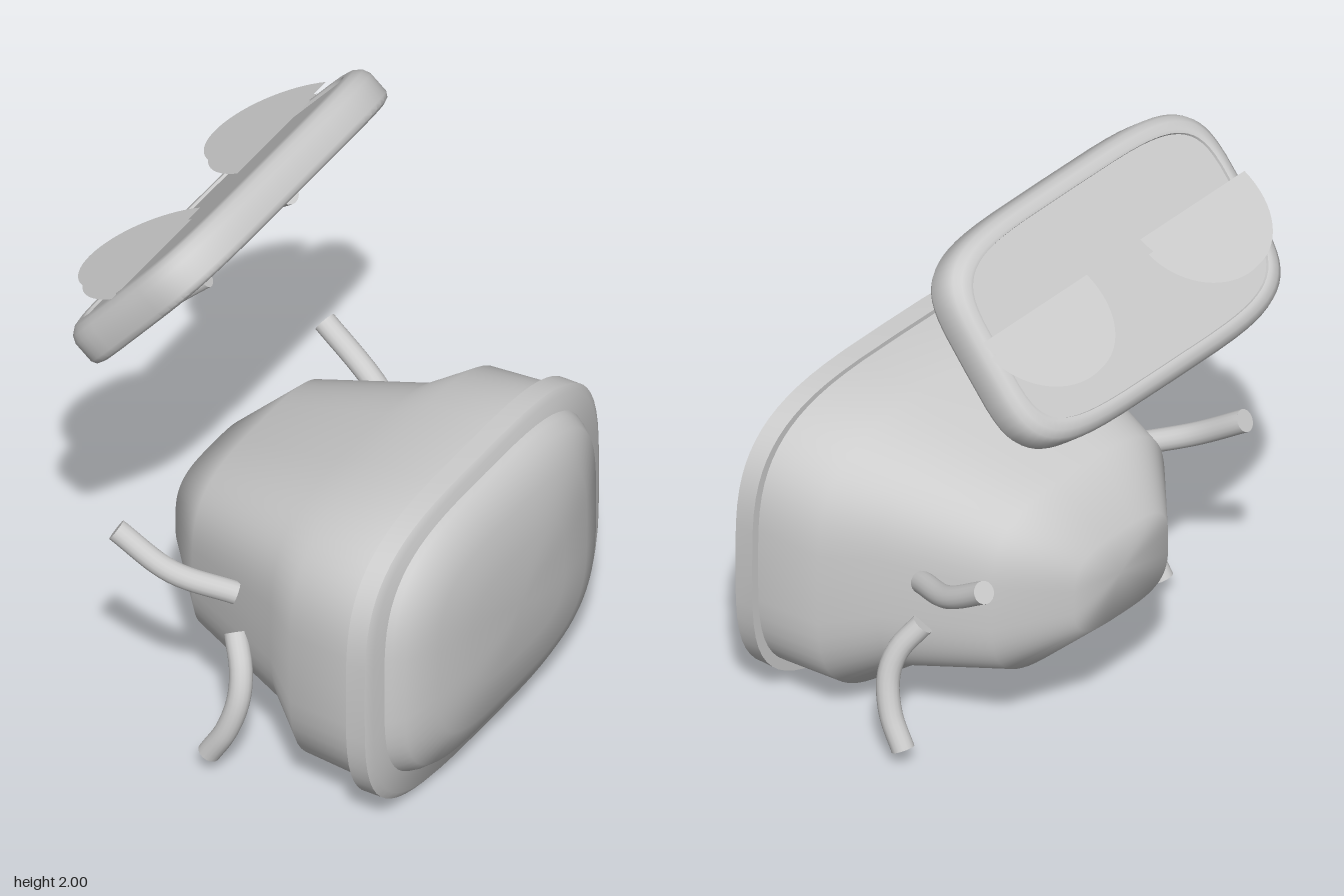
import * as THREE from 'three';
import { toCreasedNormals } from 'three/addons/utils/BufferGeometryUtils.js';

const grey = new THREE.MeshStandardMaterial({ color: 0xcccccc });
grey.name = 'plain grey';
const sheetGrey = grey.clone();
sheetGrey.side = THREE.DoubleSide;
sheetGrey.name = 'plain grey sheet';

// Skin rounded-rectangle rings [x, centreY, halfY, halfZ] along x; n sets corner squareness
function loft(name, rings, n, crease = 0.7) {
  const seg = 64, pos = [], index = [];
  const bend = v => Math.sign(v) * Math.abs(v) ** (2 / n);
  for (const [x, cy, hy, hz] of rings) {
    for (let j = 0; j < seg; j++) {
      const t = (j / seg) * Math.PI * 2;
      pos.push(x, cy + hy * bend(Math.cos(t)), hz * bend(Math.sin(t)));
    }
  }
  for (let i = 0; i < rings.length - 1; i++) {
    for (let j = 0; j < seg; j++) {
      const a = i * seg + j, b = i * seg + (j + 1) % seg;
      if (rings[i][2] > 0) index.push(a, b, a + seg);
      if (rings[i + 1][2] > 0) index.push(b, b + seg, a + seg);
    }
  }
  const g = new THREE.BufferGeometry();
  g.setAttribute('position', new THREE.Float32BufferAttribute(pos, 3));
  g.setIndex(index);
  const mesh = new THREE.Mesh(toCreasedNormals(g, crease), grey);
  mesh.name = name;
  return mesh;
}

// Round bent rod with flat ends
function rod(name, points, radius) {
  const group = new THREE.Group();
  group.name = name;
  const curve = new THREE.CatmullRomCurve3(points.map(p => new THREE.Vector3(...p)));
  group.add(new THREE.Mesh(new THREE.TubeGeometry(curve, 16, radius, 16), grey));
  for (const end of [0, 1]) {
    const cap = new THREE.Mesh(new THREE.CircleGeometry(radius, 16), grey);
    cap.position.copy(curve.getPointAt(end));
    const out = curve.getTangentAt(end).multiplyScalar(end ? 1 : -1);
    cap.quaternion.setFromUnitVectors(new THREE.Vector3(0, 0, 1), out);
    group.add(cap);
  }
  group.children.forEach(m => { m.name = name + 'Piece'; });
  return group;
}

// Thin half disc whose round side points down towards -x
function halfDisc(name, x, y, z, rx, rz) {
  const g = new THREE.CircleGeometry(1, 32, Math.PI / 2, Math.PI);
  g.scale(rx, rz, 1).rotateX(-Math.PI / 2).rotateZ(0.465);
  const mesh = new THREE.Mesh(g, sheetGrey);
  mesh.name = name;
  mesh.position.set(x, y, z);
  return mesh;
}

export function createModel() {
  const model = new THREE.Group();
  model.name = 'screenCharacter';

  // Tapered housing
  model.add(loft('housing', [
    [-0.46, 0.58, 0, 0],
    [-0.46, 0.58, 0.16, 0.23],
    [-0.28, 0.575, 0.325, 0.425],
    [0.09, 0.56, 0.42, 0.555],
    [0.235, 0.55, 0.51, 0.675],
    [0.48, 0.55, 0.525, 0.69],
  ], 3.4, 0.9));

  // Rim around the screen
  model.add(loft('screenRim', [
    [0.47, 0.545, 0, 0],
    [0.47, 0.545, 0.545, 0.718],
    [0.54, 0.545, 0.545, 0.718],
    [0.555, 0.545, 0.527, 0.69],
    [0.555, 0.545, 0, 0],
  ], 3.5));

  // Bulging screen
  model.add(loft('screen', [
    [0.55, 0.55, 0.475, 0.625],
    [0.575, 0.55, 0.465, 0.61],
    [0.61, 0.55, 0.44, 0.585],
    [0.655, 0.55, 0.345, 0.455],
    [0.68, 0.55, 0.2, 0.28],
    [0.688, 0.55, 0.08, 0.1],
    [0.689, 0.55, 0, 0],
  ], 3.5));

  // Tilted floating panel: pairs of depth and inset from the outline
  const steps = [[-0.075, 0.025], [-0.067, 0.008], [-0.05, 0], [0.025, 0], [0.05, 0.009],
    [0.068, 0.028], [0.075, 0.052], [0.072, 0.062], [0.063, 0.064]];
  const rings = steps.map(([x, e]) => [x, 0, 0.38 - e, 0.645 - e]);
  const panel = loft('floatingPanel', [[-0.075, 0, 0, 0], ...rings, [0.063, 0, 0, 0]], 4.6);
  panel.position.set(-0.403, 1.677, 0);
  panel.rotation.z = THREE.MathUtils.degToRad(140.5);
  model.add(panel);

  for (const [side, s] of [['left', 1], ['right', -1]].map(([n, z]) => [z > 0 ? 'back' : 'front', -z])) {
    // Arms and legs
    model.add(rod(side + 'Arm', [
      [-0.063, 0.63, 0.51 * s], [-0.25, 0.705, 0.605 * s], [-0.432, 0.82, 0.638 * s],
    ], 0.038));
    model.add(rod(side + 'Leg', [
      [-0.066, 0.47, 0.51 * s], [-0.013, 0.38, 0.565 * s],
      [0, 0.29, 0.6 * s], [-0.03, 0.17, 0.625 * s], [-0.09, 0.063, 0.634 * s],
    ], 0.038));
    // Pegs under the panel
    model.add(rod(side + 'Peg', [
      [-0.333, 1.622, 0.255 * s], [-0.42, 1.545, 0.285 * s], [-0.5, 1.465, 0.305 * s],
    ], 0.037));
    // Paired lids on the panel face
    model.add(halfDisc(side + 'UpperLid', -0.428, 1.779, 0.385 * s, 0.288, 0.255));
    model.add(halfDisc(side + 'LowerLid', -0.455, 1.728, 0.385 * s, 0.235, 0.245));
  }
  return model;
}
